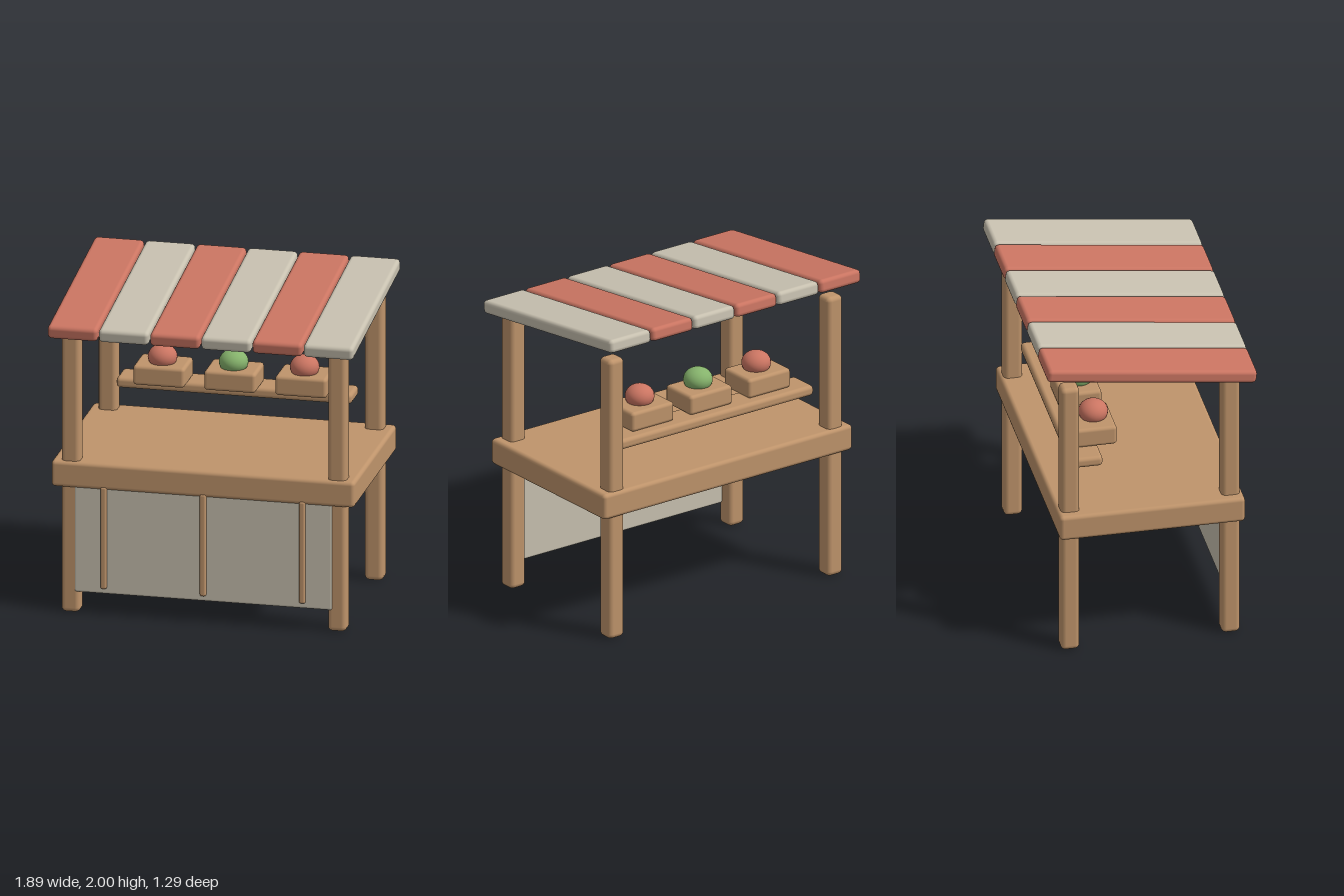
import * as THREE from 'three';
import { RoundedBoxGeometry } from 'three/addons/geometries/RoundedBoxGeometry.js';

const material = (name, color) => {
  const m = new THREE.MeshStandardMaterial({ color });
  m.name = name;
  return m;
};

export function createModel() {
  const group = new THREE.Group();
  const wood = material('wood', 0xbf946b);
  const red = material('red', 0xcb7562);
  const cream = material('cream', 0xc8c1b0);
  const green = material('green', 0x86b36c);

  const add = (name, geometry, mat, x, y, z) => {
    const mesh = new THREE.Mesh(geometry, mat);
    mesh.name = name;
    mesh.position.set(x, y, z);
    group.add(mesh);
    return mesh;
  };

  // Softened box given by its x, y and z extents
  const block = (name, mat, [x0, x1], [y0, y1], [z0, z1], radius) =>
    add(name, new RoundedBoxGeometry(x1 - x0, y1 - y0, z1 - z0, 2, radius), mat,
      (x0 + x1) / 2, (y0 + y1) / 2, (z0 + z1) / 2);

  // Four corner posts
  for (const x of [-0.825, 0.825]) {
    block('frontPost', wood, [x - 0.058, x + 0.058], [0, 1.82], [0.44, 0.555], 0.03);
    block('backPost', wood, [x - 0.058, x + 0.058], [0, 1.82], [-0.55, -0.435], 0.03);
  }

  // Counter, front panel and its battens
  block('counter', wood, [-0.94, 0.94], [0.8, 0.965], [-0.57, 0.575], 0.025);
  block('frontPanel', cream, [-0.8, 0.8], [0.135, 0.83], [0.52, 0.56], 0.015);
  for (const x of [-0.615, 0, 0.615]) {
    block('batten', wood, [x - 0.02, x + 0.02], [0.17, 0.82], [0.54, 0.58], 0.014);
  }

  // Back shelf with crates of produce
  block('shelf', wood, [-0.73, 0.73], [1.17, 1.237], [-0.46, -0.26], 0.025);
  [red, green, red].forEach((mat, i) => {
    const x = (i - 1) * 0.44;
    block('crate', wood, [x - 0.16, x + 0.16], [1.235, 1.36], [-0.4, -0.145], 0.022);
    add('produce', new THREE.SphereGeometry(0.09, 24, 16), mat, x, 1.395, -0.26).scale.y = 0.83;
  });

  // Sloping striped awning
  for (let i = 0; i < 6; i++) {
    const stripe = add('awningStripe', new RoundedBoxGeometry(0.309, 0.084, 1.3, 2, 0.025),
      i % 2 ? cream : red, (i - 2.5) * 0.317, 1.88, 0);
    stripe.rotation.x = 0.122;
  }
  return group;
}
